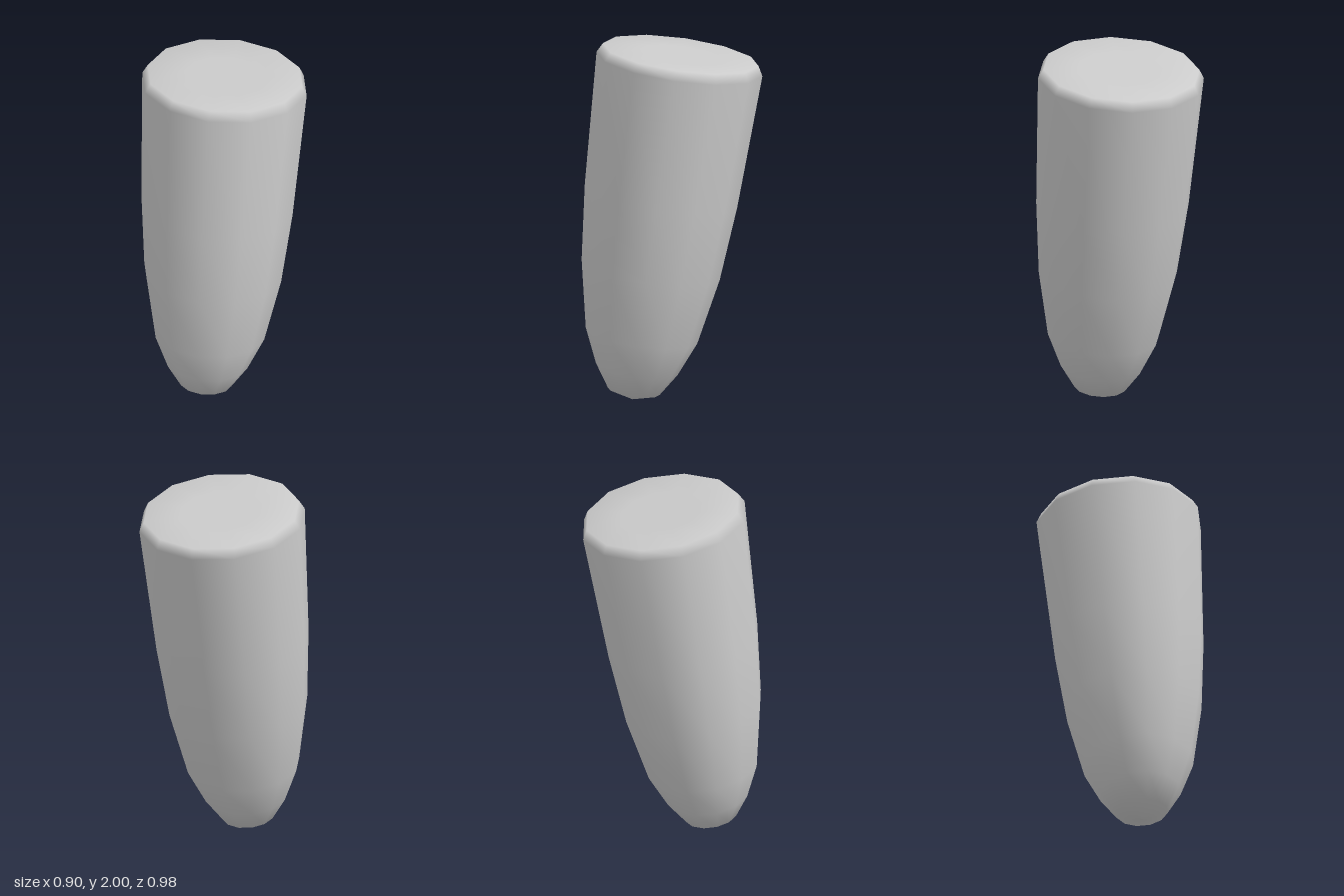
import * as THREE from 'three';

export function createModel() {
  const group = new THREE.Group();
  const material = new THREE.MeshStandardMaterial({ color: 0xcccccc });

  // Radius and height along the axis: rounded tip, flaring sides, bevelled rim, flat cap
  const profile = [
    [0, 0], [0.144, 0.046], [0.227, 0.172], [0.31, 0.363], [0.384, 0.737],
    [0.424, 1.155], [0.461, 1.905], [0.433, 1.958], [0.22, 1.958], [0, 1.958],
  ].map(([r, h]) => new THREE.Vector2(r, h));

  // Twelve-sided smooth body, leaning backwards from its tip
  const geometry = new THREE.LatheGeometry(profile, 12, THREE.MathUtils.degToRad(12));
  const body = new THREE.Mesh(geometry, material);
  body.name = 'taperedBody';
  body.rotation.x = -0.14;
  body.position.set(0, 0.001, 0.22);
  group.add(body);

  return group;
}
